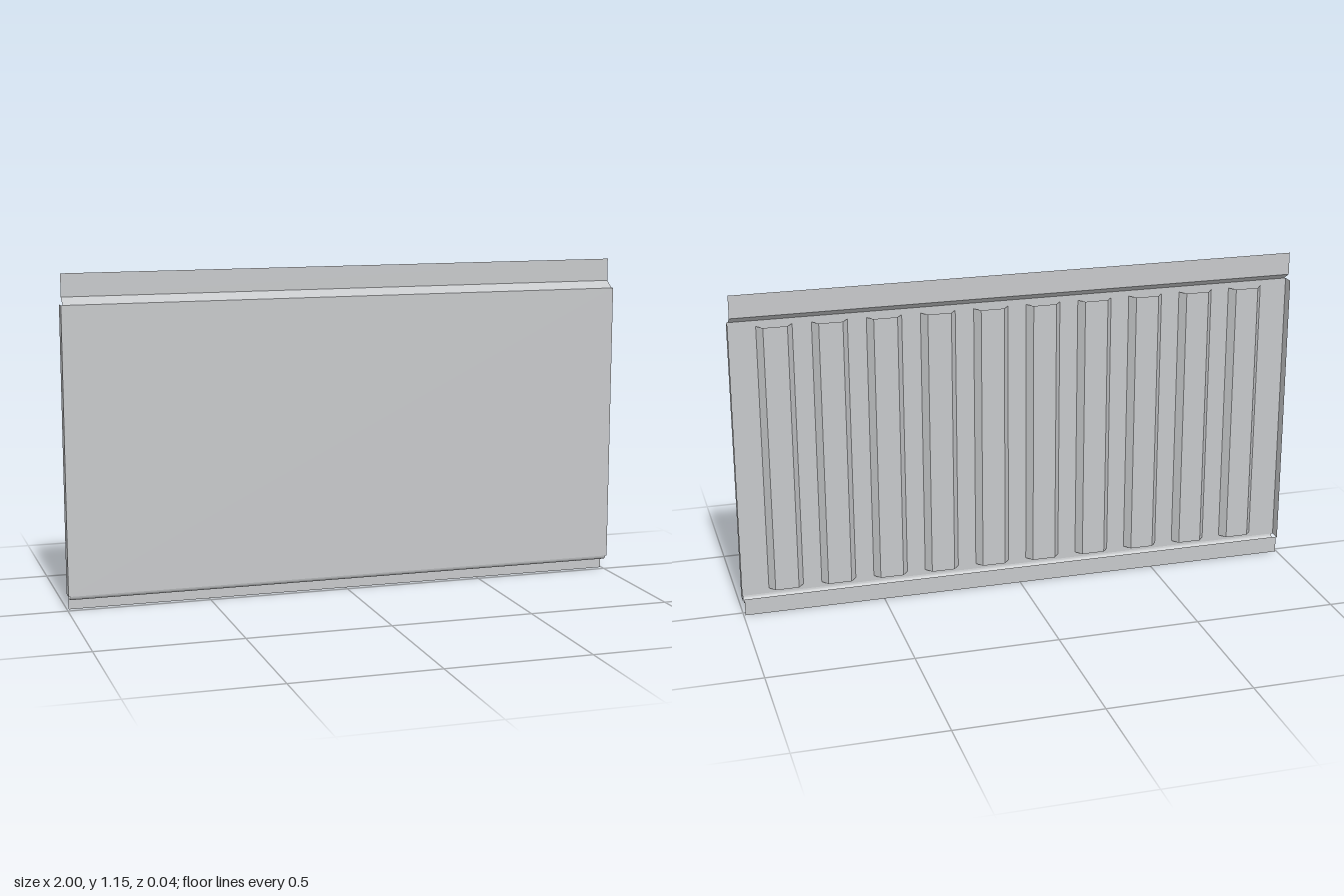
import * as THREE from 'three';
import { toCreasedNormals } from 'three/addons/utils/BufferGeometryUtils.js';

const steel = new THREE.MeshStandardMaterial({ color: 0xc6c8ca, side: THREE.DoubleSide });
steel.name = 'galvanised steel';

// Sheet swept between two copies of a profile: a(p) and b(p) place its two edges.
function sheet(name, profile, a, b) {
  const pos = [];
  for (let i = 0; i < profile.length - 1; i++) {
    const p = profile[i], q = profile[i + 1];
    pos.push(...a(p), ...b(p), ...b(q), ...a(p), ...b(q), ...a(q));
  }
  const geo = new THREE.BufferGeometry();
  geo.setAttribute('position', new THREE.Float32BufferAttribute(pos, 3));
  const mesh = new THREE.Mesh(toCreasedNormals(geo, 0.45), steel);
  mesh.name = name;
  return mesh;
}

// Profile points are [z, y], swept along x
const alongX = (name, profile, halfWidth) =>
  sheet(name, profile, ([z, y]) => [-halfWidth, y, z], ([z, y]) => [halfWidth, y, z]);

// Profile points are [x, z], swept along y
const alongY = (name, profile, y0, y1) =>
  sheet(name, profile, ([x, z]) => [x, y0, z], ([x, z]) => [x, y1, z]);

export function createModel() {
  const group = new THREE.Group();
  group.name = 'wallPanel';
  const front = 0.022, back = -0.019, bottom = 0.055, top = 1.05;

  // Flat face and its folded side flanges
  group.add(alongX('frontFace', [[front, bottom], [front, top]], 1));
  for (const s of [-1, 1]) {
    group.add(alongY(s > 0 ? 'leftFlange' : 'rightFlange', [[s, front], [s, back]], bottom, top));
  }

  // Sloped shoulder and upright lip along the top
  group.add(alongX('topLip', [[front, top], [-0.016, 1.074], [-0.016, 1.153]], 0.994));

  // Rounded channel and hanging lip along the bottom
  const channel = [];
  for (let i = 0; i <= 12; i++) {
    const t = Math.PI * i / 12;
    channel.push([0.0015 + 0.0205 * Math.cos(t), bottom - 0.016 * Math.sin(t)]);
  }
  group.add(alongX('bottomChannel', channel, 0.994));
  group.add(alongX('bottomLip', [[-0.021, 0.06], [-0.021, 0]], 0.994));

  // Corrugated stiffener behind the face: ten trapezoidal ribs
  const ribs = 10, pitch = 0.187, valley = 0.02, ridge = -0.006;
  const start = -ribs * pitch / 2;
  const profile = [[start, valley]];
  for (let i = 0; i < ribs; i++) {
    const c = start + (i + 0.5) * pitch;
    profile.push([c - 0.061, valley], [c - 0.041, ridge], [c + 0.041, ridge], [c + 0.061, valley]);
  }
  profile.push([-start, valley]);
  group.add(alongY('corrugatedBacking', profile, 0.075, 1.03));

  return group;
}
